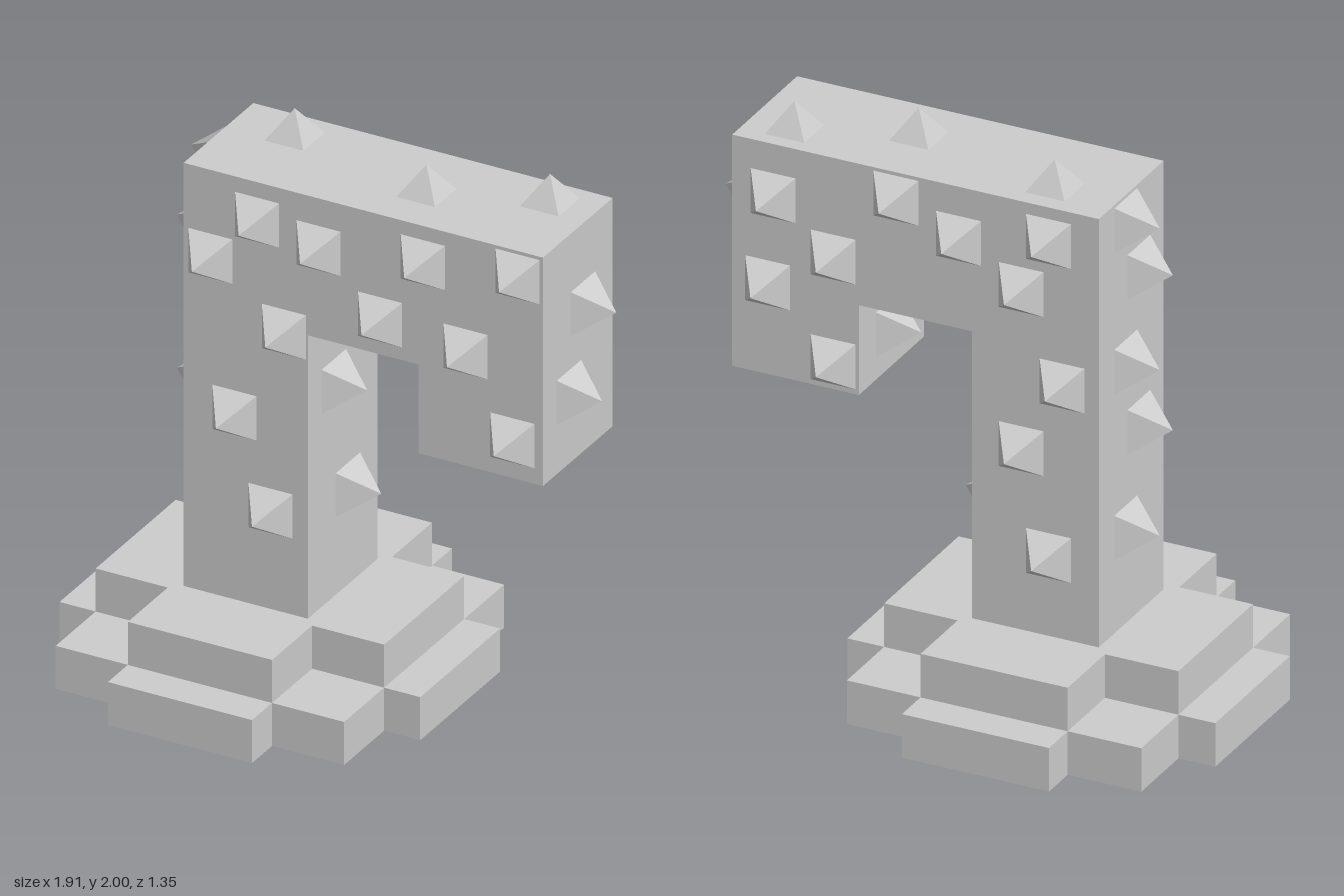
import * as THREE from 'three';

const grey = new THREE.MeshStandardMaterial({ color: 0xcccccc, flatShading: true, side: THREE.DoubleSide });

function add(parent, name, geometry) {
  const mesh = new THREE.Mesh(geometry, grey);
  mesh.name = name;
  parent.add(mesh);
  return mesh;
}

// Side walls of a counter-clockwise outline in xy, from z = 0 to depth; one edge may be left open
function walls(points, depth, openEdge = -1) {
  const pos = [];
  points.forEach(([x0, y0], i) => {
    if (i === openEdge) return;
    const [x1, y1] = points[(i + 1) % points.length];
    pos.push(x0, y0, 0, x1, y1, 0, x1, y1, depth, x0, y0, 0, x1, y1, depth, x0, y0, depth);
  });
  const g = new THREE.BufferGeometry();
  g.setAttribute('position', new THREE.Float32BufferAttribute(pos, 3));
  g.computeVertexNormals();
  return g;
}

const path = (points, Type) => new Type(points.map(([x, y]) => new THREE.Vector2(x, y)));

// Repeat a quarter outline four times around the centre
function fourfold(quarter) {
  const out = [];
  let q = quarter;
  for (let i = 0; i < 4; i++) {
    out.push(...q);
    q = q.map(([x, y]) => [-y, x]);
  }
  return out;
}

// Four-sided spike rising along +y from its base
function spikeGeometry(width, height) {
  return new THREE.ConeGeometry(width / Math.SQRT2, height, 4, 1)
    .rotateY(Math.PI / 4)
    .translate(0, height / 2, 0);
}

export function createModel() {
  const model = new THREE.Group();

  // Stepped base, hollow and open underneath
  const base = new THREE.Group();
  base.name = 'base';
  base.position.x = -0.285;
  base.rotation.x = -Math.PI / 2;
  model.add(base);
  const R = 0.675, a = 0.54, b = 0.27, step = 0.16;
  const lower = fourfold([[R, -b], [R, b], [a, b], [a, a], [b, a]]);
  const upper = fourfold([[a, -b], [a, b], [b, b]]);

  add(base, 'lowerStepWalls', walls(lower, step));
  // Four arm ledges and four corner squares around the upper step
  for (let i = 0; i < 4; i++) {
    const turn = i * Math.PI / 2;
    const arm = new THREE.PlaneGeometry(R - a, 2 * b).translate((R + a) / 2, 0, step);
    const corner = new THREE.PlaneGeometry(a - b, a - b).translate((a + b) / 2, (a + b) / 2, step);
    add(base, 'armLedge', arm.rotateZ(turn));
    add(base, 'cornerLedge', corner.rotateZ(turn));
  }
  add(base, 'upperStepWalls', walls(upper, step)).position.z = step;
  add(base, 'upperStepTop', new THREE.ShapeGeometry(path(upper, THREE.Shape))).position.z = 2 * step;

  // Hooked body: column, beam and hanging end; the column foot is open
  const half = 0.235;
  const hook = [
    [-0.515, 0], [-0.05, 0], [-0.05, 1.375], [0.365, 1.375],
    [0.365, 1.045], [0.83, 1.045], [0.83, 1.895], [-0.515, 1.895],
  ];
  const body = new THREE.Group();
  body.name = 'body';
  model.add(body);
  const face = new THREE.ShapeGeometry(path(hook, THREE.Shape));
  add(body, 'bodyFront', face).position.z = half;
  const back = face.clone();
  back.setIndex(Array.from(face.index.array).reverse());
  back.attributes.normal.array.forEach((v, i, n) => { n[i] = -v; });
  add(body, 'bodyBack', back).position.z = -half;
  add(body, 'bodyEdges', walls(hook, 2 * half, 0)).position.z = -half;

  // Spikes on every side of the body
  const spikes = new THREE.Group();
  spikes.name = 'spikes';
  model.add(spikes);
  const large = spikeGeometry(0.165, 0.125);
  const small = spikeGeometry(0.145, 0.105);
  const up = new THREE.Vector3(0, 1, 0);
  function spikeSet(name, geometry, direction, positions) {
    for (const p of positions) {
      const s = add(spikes, name, geometry);
      s.position.set(...p);
      s.quaternion.setFromUnitVectors(up, new THREE.Vector3(...direction));
    }
  }

  spikeSet('frontSpike', large, [0, 0, 1], [
    [-0.415, 1.575], [-0.24, 1.755], [-0.01, 1.71], [0.38, 1.76], [0.735, 1.8], [0.22, 1.505],
    [0.54, 1.47], [-0.14, 1.365], [0.715, 1.185], [-0.325, 1.015], [-0.19, 0.685],
  ].map(([x, y]) => [x, y, half]));

  spikeSet('backSpike', large, [0, 0, -1], [
    [0.68, 1.705], [0.23, 1.8], [0, 1.705], [-0.33, 1.77], [0.7, 1.38], [0.46, 1.53],
    [-0.23, 1.57], [0.46, 1.145], [-0.38, 1.25], [-0.23, 0.985], [-0.33, 0.615],
  ].map(([x, y]) => [x, y, -half]));

  spikeSet('rightSpike', large, [-1, 0, 0], [
    [-0.515, 1.8, -0.04], [-0.515, 1.585, 0.055], [-0.515, 1.28, -0.04],
    [-0.515, 1.015, 0.055], [-0.515, 0.67, -0.04], [0.365, 1.21, -0.03],
  ]);

  spikeSet('leftSpike', large, [1, 0, 0], [
    [0.83, 1.595, -0.035], [0.83, 1.31, 0.06], [-0.05, 1.12, 0.06], [-0.05, 0.69, -0.035],
  ]);

  spikeSet('topSpike', small, [0, 1, 0], [
    [-0.285, 1.895, -0.1], [0.28, 1.895, 0.03], [0.665, 1.895, -0.11],
  ]);

  spikeSet('undersideSpike', large, [0, -1, 0], [[0.115, 1.375, 0]]);

  return model;
}
